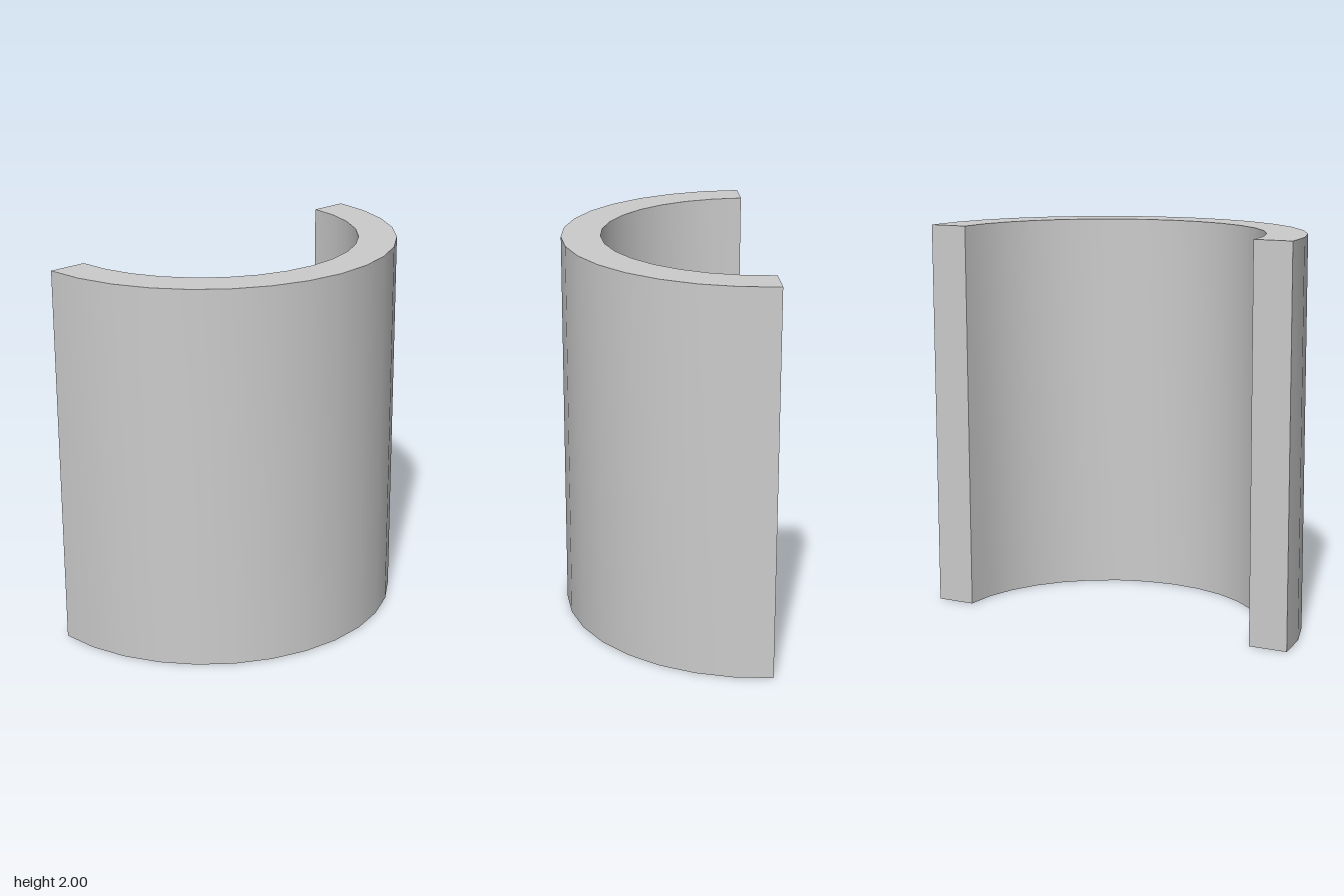
import * as THREE from 'three';
import { toCreasedNormals } from 'three/addons/utils/BufferGeometryUtils.js';

const OUTER = 1, INNER = 0.8, HEIGHT = 2, CENTRE = 0.5;

export function createModel() {
  const group = new THREE.Group();
  group.name = 'halfPipe';

  // Half-ring plan: outer arc one way, inner arc back
  const plan = new THREE.Shape();
  plan.absarc(0, CENTRE, OUTER, Math.PI, 2 * Math.PI, false);
  plan.absarc(0, CENTRE, INNER, 2 * Math.PI, Math.PI, true);
  plan.closePath();

  // Raised upright; each arc has 16 smooth-shaded facets
  const extruded = new THREE.ExtrudeGeometry(plan, {
    depth: HEIGHT, bevelEnabled: false, curveSegments: 8,
  });
  extruded.rotateX(-Math.PI / 2);

  const wall = new THREE.Mesh(
    toCreasedNormals(extruded, Math.PI / 6),
    new THREE.MeshStandardMaterial({ color: 0xcccccc }),
  );
  wall.name = 'curvedWall';
  group.add(wall);
  return group;
}
